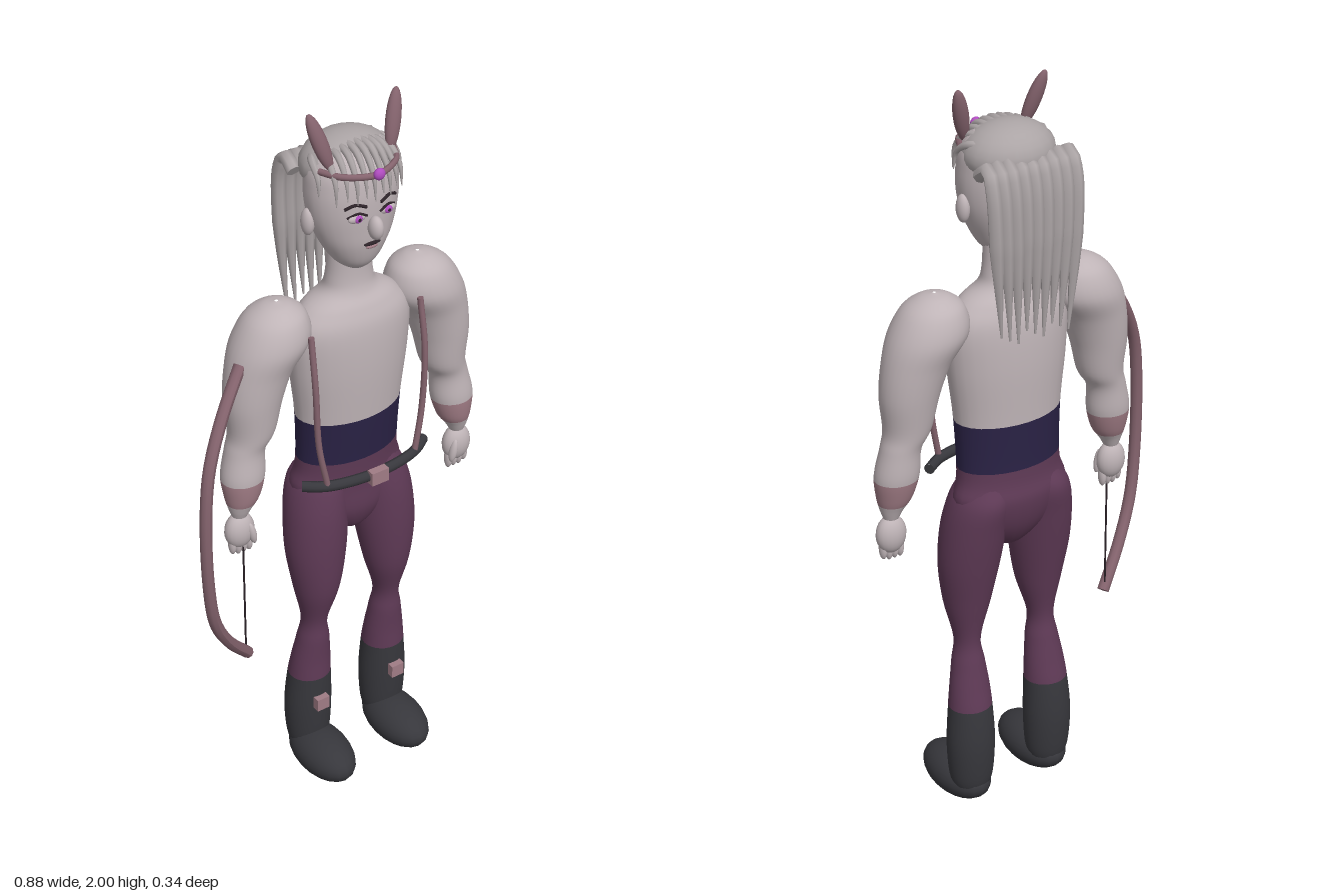
import * as THREE from 'three';

const mat = (name, color) => {
  const m = new THREE.MeshStandardMaterial({ color });
  m.name = name;
  return m;
};

export function createModel() {
  const skin = mat('skin', 0xbfb4b7), hairMat = mat('hair', 0xaba4a5);
  const cloth = mat('plumCloth', 0x5f3a56), navy = mat('navySash', 0x2a2245);
  const leather = mat('darkLeather', 0x37373c), wood = mat('roseWood', 0x84636d);
  const rose = mat('dustyRose', 0xa07c85), violet = mat('violetGem', 0xb04cc0);
  const dark = mat('darkLine', 0x2c2228);

  const root = new THREE.Group();
  root.name = 'archer';
  const body = new THREE.Group();
  body.name = 'body';
  body.position.x = 0.06;
  root.add(body);

  const add = (name, geo, m, parent = body) => {
    const mesh = new THREE.Mesh(geo, m);
    mesh.name = name;
    parent.add(mesh);
    return mesh;
  };

  // Smooth loft of elliptical rings [y, cx, cz, rx, rz], rising in y;
  // bands [[topY, material], ...] colour it by height
  const loft = (name, rows, bands, seg = 28, sub = 6) => {
    const a = new THREE.CatmullRomCurve3(rows.map(r => new THREE.Vector3(r[0], r[1], r[2])), false, 'catmullrom', 0.5);
    const b = new THREE.CatmullRomCurve3(rows.map(r => new THREE.Vector3(r[3], r[4], 0)), false, 'catmullrom', 0.5);
    const n = (rows.length - 1) * sub, pos = [], idx = [];
    const geo = new THREE.BufferGeometry();
    for (let i = 0; i <= n; i++) {
      const c = a.getPoint(i / n), r = b.getPoint(i / n);
      for (let j = 0; j < seg; j++) {
        const t = j / seg * Math.PI * 2;
        pos.push(c.y + Math.max(r.x, 0.001) * Math.cos(t), c.x, c.z + Math.max(r.y, 0.001) * Math.sin(t));
      }
    }
    for (let i = 0; i < n; i++) {
      const y = a.getPoint((i + 0.5) / n).x;
      geo.addGroup(idx.length, seg * 6, Math.max(0, bands.findIndex(k => y < k[0])));
      for (let j = 0; j < seg; j++) {
        const p = i * seg + j, q = i * seg + (j + 1) % seg;
        idx.push(p, p + seg, q, q, p + seg, q + seg);
      }
    }
    geo.setAttribute('position', new THREE.Float32BufferAttribute(pos, 3));
    geo.setIndex(idx);
    geo.computeVertexNormals();
    return add(name, geo, bands.map(k => k[1]));
  };

  const ball = (name, m, p, r, rotZ = 0, rotX = 0) => {
    const e = add(name, new THREE.SphereGeometry(1, 20, 14), m);
    e.position.set(...p);
    e.scale.set(...r);
    e.rotation.set(rotX, 0, rotZ);
    return e;
  };

  // Tube along points; taper(t) scales its radius
  const tube = (name, m, pts, r, parent = body, taper = () => 1, n = 20, seg = 10) => {
    const curve = new THREE.CatmullRomCurve3(pts.map(p => new THREE.Vector3(...p)));
    const geo = new THREE.TubeGeometry(curve, n, r, seg);
    const pos = geo.attributes.position, v = new THREE.Vector3();
    for (let i = 0; i < pos.count; i++) {
      const t = Math.floor(i / (seg + 1)) / n, c = curve.getPointAt(t);
      v.fromBufferAttribute(pos, i).sub(c).multiplyScalar(taper(t)).add(c);
      pos.setXYZ(i, v.x, v.y, v.z);
    }
    geo.computeVertexNormals();
    const mesh = add(name, geo, m, parent);
    // end discs
    [0, 1].forEach(t => {
      const k = taper(t);
      if (k < 0.2) return;
      const cap = add(name + 'End', new THREE.CircleGeometry(r * k, seg), m, parent);
      const p = curve.getPointAt(t), d = curve.getTangentAt(t).multiplyScalar(t ? 1 : -1);
      cap.position.copy(p);
      cap.lookAt(p.add(d));
    });
    return mesh;
  };

  const box = (name, m, p, s) => add(name, new THREE.BoxGeometry(...s), m).position.set(...p);

  // Torso with hips, sash, chest and neck
  loft('torso', [
    [0.765, 0, -0.02, 0.005, 0.005], [0.785, 0, -0.02, 0.05, 0.045], [0.85, 0, -0.027, 0.125, 0.08],
    [0.93, 0, -0.036, 0.16, 0.09], [1.0, 0, -0.03, 0.145, 0.087], [1.15, 0, -0.025, 0.148, 0.094],
    [1.3, 0, -0.023, 0.165, 0.1], [1.41, 0, -0.022, 0.168, 0.095], [1.465, 0, -0.022, 0.13, 0.078],
    [1.5, 0, -0.022, 0.076, 0.058], [1.54, 0, -0.022, 0.062, 0.049], [1.62, 0, -0.02, 0.056, 0.046],
  ], [[1.01, cloth], [1.15, navy], [3, skin]]);

  // Head
  loft('head', [
    [1.565, 0, 0.005, 0.004, 0.004], [1.572, 0, 0.003, 0.028, 0.03], [1.6, 0, -0.002, 0.06, 0.06],
    [1.65, 0, -0.004, 0.09, 0.078], [1.7, 0, -0.009, 0.11, 0.088], [1.75, 0, -0.012, 0.12, 0.093],
    [1.8, 0, -0.015, 0.121, 0.094], [1.85, 0, -0.02, 0.113, 0.088], [1.89, 0, -0.025, 0.08, 0.062],
    [1.908, 0, -0.025, 0.004, 0.004],
  ], [[3, skin]]);
  ball('hairCap', hairMat, [0, 1.835, -0.035], [0.119, 0.078, 0.102]);
  ball('nose', skin, [0, 1.71, 0.09], [0.018, 0.031, 0.023]);
  ball('mouth', dark, [0, 1.662, 0.076], [0.024, 0.005, 0.006]);
  ball('lowerLip', rose, [0, 1.653, 0.075], [0.017, 0.005, 0.006]);

  for (const s of [-1, 1]) {
    const side = s < 0 ? 'right' : 'left';

    // Face
    ball(side + 'Eye', skin, [s * 0.042, 1.742, 0.074], [0.025, 0.012, 0.009]);
    ball(side + 'Iris', violet, [s * 0.042, 1.742, 0.08], [0.011, 0.01, 0.006]);
    ball(side + 'Pupil', dark, [s * 0.042, 1.742, 0.084], [0.005, 0.005, 0.003]);
    tube(side + 'EyeLid', dark, [[s * 0.018, 1.745, 0.081], [s * 0.042, 1.756, 0.079], [s * 0.067, 1.745, 0.068]], 0.003);
    tube(side + 'Brow', dark, [[s * 0.02, 1.769, 0.081], [s * 0.048, 1.778, 0.074], [s * 0.072, 1.768, 0.064]], 0.004);
    ball(side + 'Ear', skin, [s * 0.119, 1.712, -0.02], [0.016, 0.036, 0.02]);

    // Pointed ears of the headdress
    ball(side + 'HeaddressEar', wood, [s * 0.103, 1.93, 0.008], [0.02, 0.076, 0.016], -s * 0.27, -0.25);

    // Arm with bracer
    loft(side + 'Arm', [
      [0.94, s * 0.335, -0.01, 0.02, 0.02], [0.965, s * 0.332, -0.01, 0.031, 0.03], [1.0, s * 0.324, -0.012, 0.047, 0.043],
      [1.06, s * 0.318, -0.016, 0.058, 0.052], [1.13, s * 0.308, -0.02, 0.052, 0.05], [1.18, s * 0.288, -0.02, 0.061, 0.058],
      [1.27, s * 0.28, -0.022, 0.076, 0.07], [1.35, s * 0.26, -0.024, 0.088, 0.08], [1.42, s * 0.226, -0.025, 0.102, 0.092],
      [1.48, s * 0.212, -0.025, 0.08, 0.075], [1.51, s * 0.208, -0.025, 0.042, 0.04], [1.52, s * 0.206, -0.025, 0.004, 0.004],
    ], [[0.982, skin], [1.05, rose], [3, skin]]);

    // Hand and fingers
    ball(side + 'Hand', skin, [s * 0.336, 0.893, -0.01], [0.041, 0.052, 0.03]);
    for (let i = 0; i < 4; i++)
      ball(side + 'Finger', skin, [s * (0.311 + i * 0.016), 0.85 + (i === 3 ? 0.006 : 0), -0.008], [0.01, 0.03, 0.013]);
    ball(side + 'Thumb', skin, [s * 0.312, 0.885, 0.012], [0.011, 0.034, 0.012], -s * 0.2);

    // Leg with boot shaft
    loft(side + 'Leg', [
      [0.05, s * 0.122, -0.03, 0.045, 0.042], [0.1, s * 0.122, -0.03, 0.06, 0.054], [0.2, s * 0.122, -0.03, 0.066, 0.06],
      [0.3, s * 0.12, -0.026, 0.06, 0.057], [0.37, s * 0.118, -0.02, 0.054, 0.049], [0.44, s * 0.116, -0.012, 0.044, 0.043],
      [0.51, s * 0.115, -0.007, 0.035, 0.038], [0.62, s * 0.111, -0.002, 0.062, 0.062], [0.74, s * 0.108, -0.01, 0.081, 0.079],
      [0.85, s * 0.1, -0.022, 0.083, 0.088], [0.93, s * 0.088, -0.034, 0.074, 0.088], [0.98, s * 0.075, -0.032, 0.05, 0.07],
    ], [[0.31, leather], [3, cloth]]);
    ball(side + 'BootFoot', leather, [s * 0.122, 0.063, 0.04], [0.073, 0.062, 0.125]);
    box(side + 'BootBuckle', rose, [s * 0.122, 0.237, 0.036], [0.038, 0.038, 0.025]);

    // Shoulder strap
    tube(side + 'Strap', wood, [[s * 0.16, 1.44, 0.055], [s * 0.162, 1.3, 0.077], [s * 0.155, 1.13, 0.08], [s * 0.132, 1.0, 0.085]], 0.008);
  }

  // Belt and buckle
  tube('belt', leather, [[-0.185, 1, 0.048], [-0.13, 1, 0.083], [0, 1, 0.104], [0.13, 1, 0.083], [0.185, 1, 0.048]], 0.014);
  box('beltBuckle', rose, [0, 1, 0.115], [0.05, 0.038, 0.022]);

  // Circlet and gem
  tube('circlet', wood, [[-0.105, 1.855, 0.008], [-0.075, 1.855, 0.06], [0, 1.853, 0.092], [0.075, 1.855, 0.06], [0.105, 1.855, 0.008]], 0.008);
  ball('circletGem', violet, [0, 1.86, 0.102], [0.015, 0.015, 0.011]);

  // Fringe strands, swept forward from the crown
  for (let i = 0; i < 11; i++) {
    const u = (i - 5) / 5, x = u * 0.105, d = 1 - u * u;
    const z = 0.02 + 0.065 * Math.sqrt(d), drop = (i % 2) * 0.014;
    tube('fringeStrand', hairMat, [
      [x * 0.82, 1.868 + 0.03 * d, -0.05 + 0.03 * d], [x * 0.98, 1.868 + 0.026 * d, z - 0.045],
      [x * 1.07, 1.84, z - 0.005], [x * 1.1, 1.795 - drop, z + 0.004],
    ], 0.0105, body, t => 1 - 0.9 * t * t, 12, 8);
  }

  // Long back hair
  for (let i = 0; i < 9; i++) {
    const x = (i - 4) * 0.0285;
    tube('backStrand', hairMat, [
      [x, 1.815, -0.085], [x, 1.838, -0.122], [x * 1.02, 1.79, -0.145],
      [x * 0.97, 1.6, -0.153], [x * 0.85, 1.39 + (i % 3) * 0.014, -0.148],
    ], 0.018, body, t => (t < 0.5 ? 1 : 1 - 1.7 * (t - 0.5)), 24, 8);
  }

  // Bow and string
  const bow = new THREE.Group();
  bow.name = 'bow';
  root.add(bow);
  tube('bowStave', wood, [
    [-0.267, 1.393, 0], [-0.345, 1.295, 0.04], [-0.402, 1.185, 0.07], [-0.424, 1.06, 0.082],
    [-0.424, 0.84, 0.082], [-0.402, 0.7, 0.07], [-0.345, 0.588, 0.04], [-0.267, 0.487, 0],
  ], 0.016, bow, () => 1, 32);
  tube('bowString', dark, [[-0.272, 1.39, 0], [-0.272, 0.94, 0], [-0.272, 0.49, 0]], 0.0025, bow, () => 1, 2, 6);

  return root;
}
